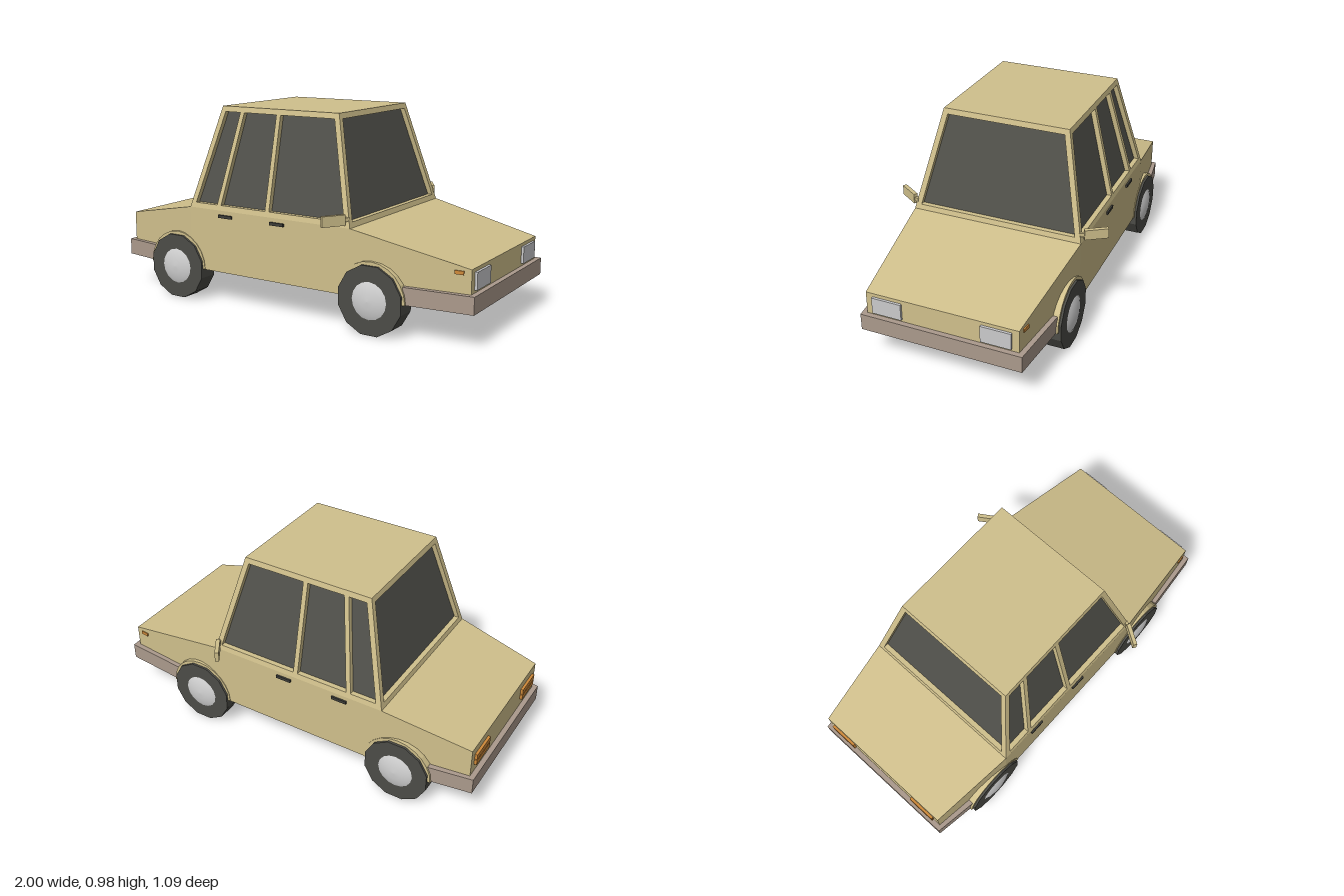
import * as THREE from 'three';

const mat = (name, color, extra = {}) => {
  const m = new THREE.MeshStandardMaterial({ color, ...extra });
  m.name = name;
  return m;
};

// Solid through four-cornered rings, capped at both ends, always facing outwards
function loft(rings) {
  const tris = [];
  const quad = (a, b, c, d) => tris.push([a, b, c], [a, c, d]);
  for (let k = 0; k + 1 < rings.length; k++) {
    for (let i = 0; i < 4; i++) {
      const j = (i + 1) % 4;
      quad(rings[k][i], rings[k][j], rings[k + 1][j], rings[k + 1][i]);
    }
  }
  const end = rings[rings.length - 1];
  quad(...[...rings[0]].reverse());
  quad(...end);
  const c = new THREE.Vector3(...rings[0][0]);
  let volume = 0;
  for (const t of tris) {
    const [p, q, r] = t.map(v => new THREE.Vector3(...v).sub(c));
    volume += p.dot(q.cross(r));
  }
  if (volume < 0) tris.forEach(t => t.reverse());
  const g = new THREE.BufferGeometry();
  g.setAttribute('position', new THREE.Float32BufferAttribute(tris.flat(2), 3));
  g.computeVertexNormals();
  return g;
}

// Upright rectangle across the car at x
const station = (x, w, y0, y1) => [[x, y0, -w], [x, y0, w], [x, y1, w], [x, y1, -w]];
// Level rectangle
const level = (y, x0, x1, z0, z1) => [[x0, y, z0], [x0, y, z1], [x1, y, z1], [x1, y, z0]];

// Sloping outer faces of the cabin at height y
function cabin(y) {
  const t = (y - 0.48) / 0.505;
  return { rear: -0.54 + 0.13 * t, front: 0.40 - 0.13 * t, side: 0.435 - 0.115 * t };
}
function cabinRing(y, inset = 0) {
  const c = cabin(y);
  return level(y, c.rear + inset, c.front - inset, -c.side + inset, c.side - inset);
}

export function createModel() {
  const car = new THREE.Group();
  car.name = 'car';
  const paint = mat('beigePaint', 0xd0c08c);
  const glass = mat('darkGlass', 0x52524c);
  const rubber = mat('tyreRubber', 0x4c4c47, { flatShading: true });
  const bumperMat = mat('bumperBrown', 0xab9a8c);
  const chrome = mat('hubSilver', 0xd2d2d2);
  const lamp = mat('headlightGrey', 0xcacacc);
  const orange = mat('orangeLens', 0xd08a3a);
  const dark = mat('handleBlack', 0x3c3c38);

  const add = (name, geo, material, x = 0, y = 0, z = 0, ry = 0) => {
    const m = new THREE.Mesh(geo, material);
    m.name = name;
    m.position.set(x, y, z);
    m.rotation.y = ry;
    car.add(m);
    return m;
  };
  const box = (name, w, h, d, material, x, y, z, ry) =>
    add(name, new THREE.BoxGeometry(w, h, d), material, x, y, z, ry);

  // Lower body with sloping bonnet and boot
  add('body', loft([
    station(-0.975, 0.38, 0.165, 0.395),
    station(-0.54, 0.435, 0.165, 0.48),
    station(0.40, 0.435, 0.165, 0.48),
    station(0.975, 0.375, 0.165, 0.36),
  ]), paint);

  // Cabin: glass core set back inside a painted frame
  const sill = 0.505, head = 0.958;
  add('windows', loft([cabinRing(sill - 0.01, 0.025), cabinRing(head + 0.01, 0.025)]), glass);
  add('windowSill', loft([cabinRing(0.48), cabinRing(sill)]), paint);
  add('roof', loft([cabinRing(head), cabinRing(0.985)]), paint);

  const post = 0.028;
  for (const s of [1, -1]) {
    for (const end of ['front', 'rear']) {
      const inward = end === 'front' ? -post : post;
      add(end + 'Pillar', loft([sill, head].map(y => {
        const c = cabin(y);
        return level(y, c[end], c[end] + inward, s * c.side, s * (c.side - post));
      })), paint);
    }
    // Door pillars: [name, x at sill, x at head]
    for (const [name, xb, xt] of [['doorPillar', -0.068, -0.068], ['quarterPillar', -0.36, -0.285]]) {
      add(name, loft([[sill, xb], [head, xt]].map(([y, x]) => {
        const w = cabin(y).side;
        return level(y, x - 0.012, x + 0.012, s * w, s * (w - 0.04));
      })), paint);
    }

    // Door handles
    for (const x of [-0.315, -0.005]) box('doorHandle', 0.08, 0.015, 0.012, dark, x, 0.452, s * 0.438);

    // Door mirrors
    box('mirror', 0.02, 0.05, 0.115, paint, 0.345, 0.52, s * 0.49, -s * 0.576);
    box('mirrorArm', 0.015, 0.018, 0.045, paint, 0.375, 0.52, s * 0.438, -s * 0.5);

    // Lamps
    box('headlight', 0.02, 0.082, 0.147, lamp, 0.977, 0.302, s * 0.268);
    box('indicator', 0.042, 0.017, 0.012, orange, 0.92, 0.342, s * 0.381, s * 0.104);
    for (const y of [0.307, 0.34]) box('tailLight', 0.02, 0.028, 0.147, orange, -0.978, y, s * 0.272);
  }

  // Bumpers wrapping round to the wheels
  add('frontBumper', loft([station(0.67, 0.43, 0.166, 0.248), station(1, 0.398, 0.166, 0.248)]), bumperMat);
  add('rearBumper', loft([station(-1, 0.398, 0.166, 0.248), station(-0.785, 0.43, 0.166, 0.248)]), bumperMat);

  // Wheels and arch lips
  const tyreGeo = new THREE.CylinderGeometry(0.168, 0.168, 0.098, 12);
  tyreGeo.rotateY(Math.PI / 12).rotateX(Math.PI / 2);
  const hubGeo = new THREE.LatheGeometry(
    [[0.092, 0], [0.07, 0.009], [0.035, 0.016], [0, 0.018]].map(p => new THREE.Vector2(...p)), 16);
  hubGeo.rotateX(Math.PI / 2);
  const arch = new THREE.Shape();
  arch.absarc(0, 0, 0.177, 0, Math.PI, false);
  arch.absarc(0, 0, 0.155, Math.PI, 0, true);
  arch.closePath();
  const archGeo = new THREE.ExtrudeGeometry(arch, { depth: 0.08, bevelEnabled: false, curveSegments: 6 });
  archGeo.translate(0, 0, -0.04);
  for (const x of [-0.63, 0.51]) {
    for (const s of [1, -1]) {
      const turn = s > 0 ? 0 : Math.PI;
      add('tyre', tyreGeo, rubber, x, 0.1625, s * 0.4);
      add('hubCap', hubGeo, chrome, x, 0.1625, s * 0.448, turn);
      add('wheelArch', archGeo, paint, x, 0.166, s * 0.398, turn);
    }
  }
  return car;
}
